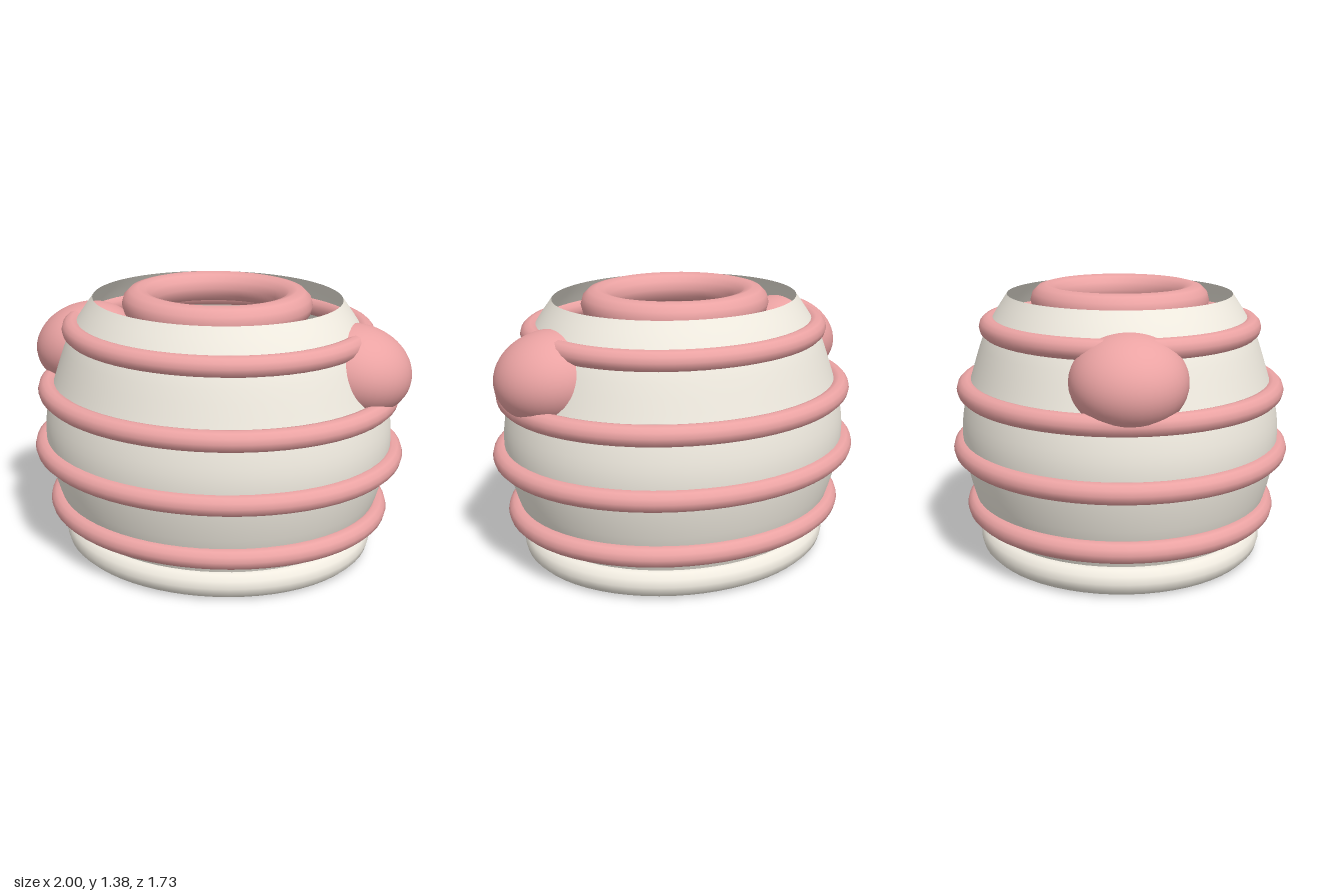
import * as THREE from 'three';

// Horizontal ellipse used as the path of every ring
class EllipsePath extends THREE.Curve {
  constructor(rx, rz, y) {
    super();
    this.rx = rx;
    this.rz = rz;
    this.y = y;
  }
  getPoint(t, target = new THREE.Vector3()) {
    const a = t * Math.PI * 2;
    return target.set(this.rx * Math.cos(a), this.y, this.rz * Math.sin(a));
  }
}

export function createModel() {
  const model = new THREE.Group();
  const cream = new THREE.MeshStandardMaterial({ color: 0xf0ebe0, side: THREE.DoubleSide });
  const pink = new THREE.MeshStandardMaterial({ color: 0xeba3a3 });

  const add = (name, geometry, material) => {
    const mesh = new THREE.Mesh(geometry, material);
    mesh.name = name;
    model.add(mesh);
    return mesh;
  };
  const ring = (name, rx, rz, y, tube, material) =>
    add(name, new THREE.TubeGeometry(new EllipsePath(rx, rz, y), 64, tube, 12, true), material);

  // Open barrel shell, slightly flattened front to back
  const profile = new THREE.SplineCurve([
    [0.73, 0.07], [0.78, 0.18], [0.84, 0.3], [0.892, 0.49], [0.907, 0.65],
    [0.885, 0.8], [0.85, 0.91], [0.775, 1.12], [0.71, 1.23], [0.638, 1.33],
  ].map(([x, y]) => new THREE.Vector2(x, y)));
  add('barrelShell', new THREE.LatheGeometry(profile.getPoints(32), 64), cream).scale.z = 0.9;

  // Rolled foot
  ring('baseRing', 0.75, 0.665, 0.07, 0.07, cream);

  // Bands around the barrel
  [
    [0.85, 0.75, 0.245],
    [0.918, 0.812, 0.55],
    [0.888, 0.788, 0.855],
    [0.75, 0.667, 1.168],
  ].forEach(([rx, rz, y], i) => ring(`band${i + 1}`, rx, rz, y, 0.052, pink));

  // Ring floating in the top opening
  ring('topRing', 0.405, 0.375, 1.295, 0.08, pink);

  // Flattened side knobs, drooping outward
  for (const side of [-1, 1]) {
    const knob = add(side > 0 ? 'leftKnob' : 'rightKnob', new THREE.SphereGeometry(1, 40, 28), pink);
    knob.scale.set(0.276, 0.217, 0.276);
    knob.position.set(side * 0.727, 1.02, 0);
    knob.rotation.z = -side * 0.25;
  }
  return model;
}
